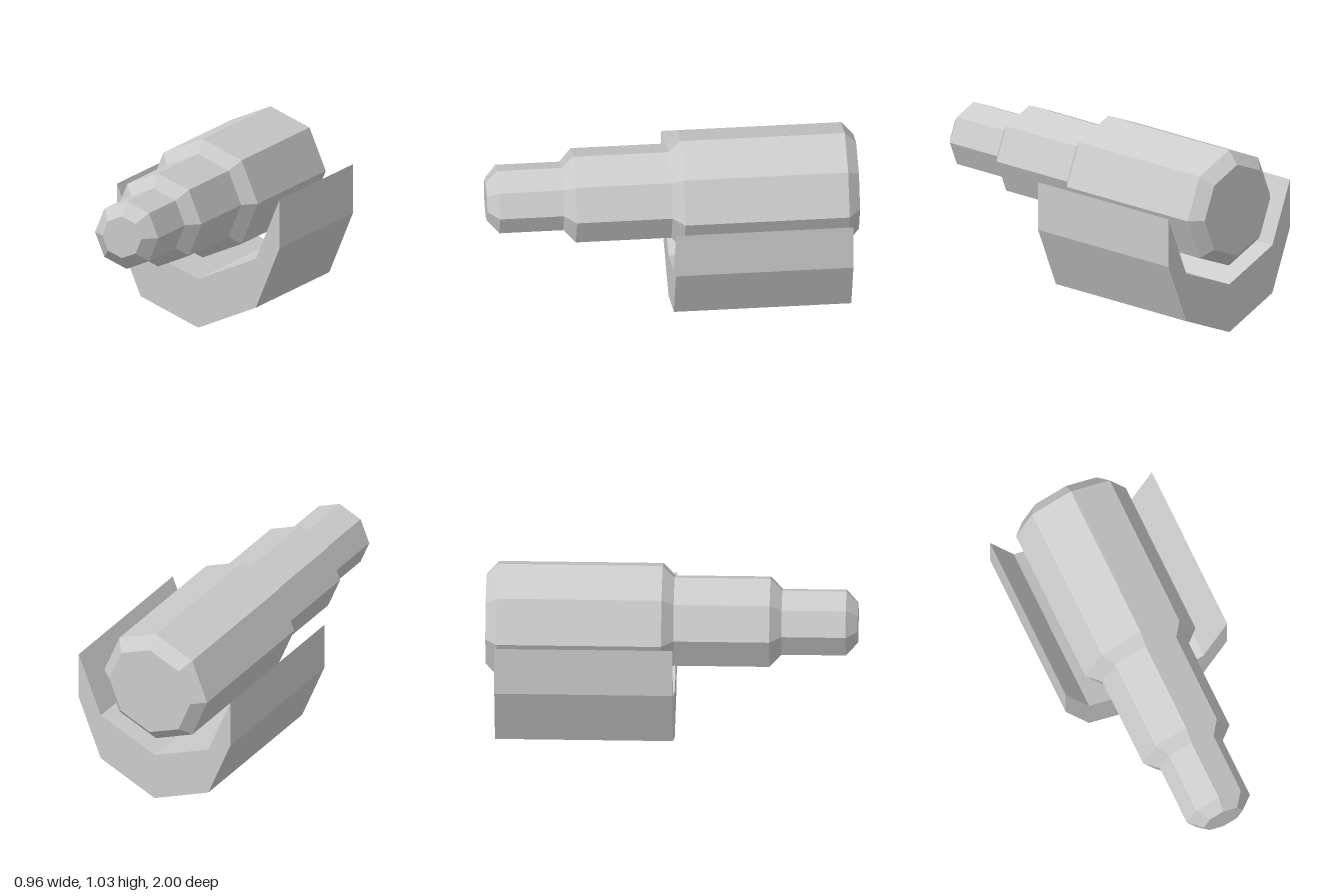
import * as THREE from 'three';

const material = new THREE.MeshStandardMaterial({ color: 0xcccccc, flatShading: true });

function addPart(group, name, geometry) {
  const mesh = new THREE.Mesh(geometry, material);
  mesh.name = name;
  group.add(mesh);
  return mesh;
}

export function createModel() {
  const group = new THREE.Group();
  group.name = 'shaftOnCradle';

  // Stepped eight-sided shaft: [radius, z] from the back cap to the front cap
  const profile = [
    [0, -1], [0.257, -1], [0.326, -0.938], [0.326, -0.052],
    [0.257, 0.012], [0.257, 0.528], [0.187, 0.592],
    [0.187, 0.937], [0.115, 1], [0, 1],
  ].map(([r, z]) => new THREE.Vector2(r, z));
  const shaft = addPart(group, 'steppedShaft',
    new THREE.LatheGeometry(profile, 8).rotateX(Math.PI / 2));
  shaft.position.set(-0.004, 0.7, 0);

  // Cradle: half an octagonal trough, mirrored across x and extruded along z
  const outer = [[0.34, 0.142], [0.48, 0.481]];
  const inner = [[0.48, 0.75], [0.34, 0.411]];
  const right = [...outer, ...inner];
  const left = right.map(([x, y]) => [-x, y]).reverse();
  const outline = [[0, 0], ...right, [0, 0.27], ...left]
    .map(([x, y]) => new THREE.Vector2(x, y));
  const cradle = addPart(group, 'cradle', new THREE.ExtrudeGeometry(
    new THREE.Shape(outline), { depth: 0.958, bevelEnabled: false }));
  cradle.position.z = -0.945;

  return group;
}
